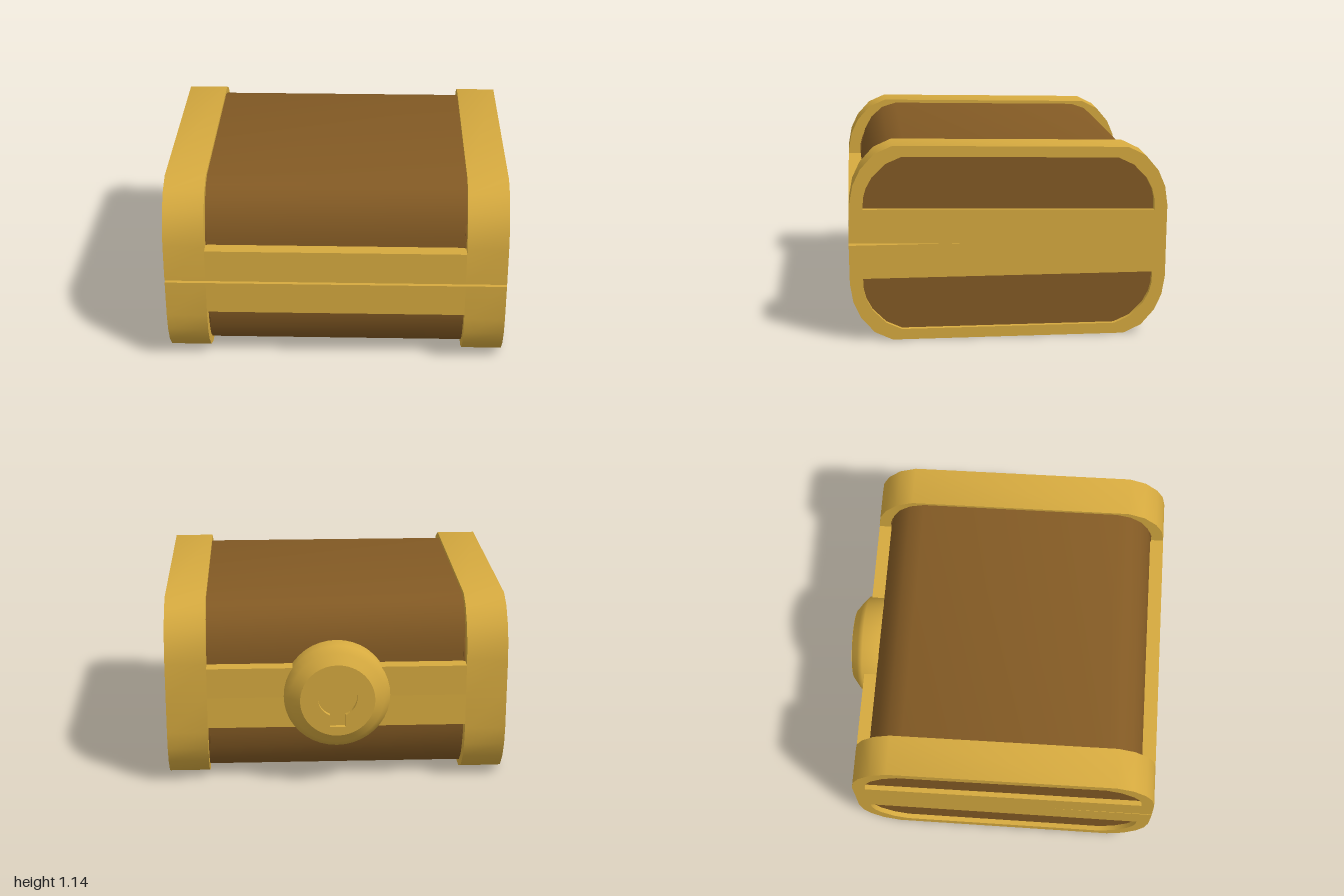
import * as THREE from 'three';
import { toCreasedNormals } from 'three/addons/utils/BufferGeometryUtils.js';

const gold = new THREE.MeshStandardMaterial({ color: 0xd6aa3f });
gold.name = 'gold';
const brown = new THREE.MeshStandardMaterial({ color: 0x835a24 });
brown.name = 'brown wood';

const MID_Z = 0.047; // middle of the chest, front to back
const SEAM = 0.565; // height of the opening
const LEDGE = 0.368; // lower edge of the middle band

// Front half of each cross-section as [z, y], from the seam down to the base
const STRAP = [[0.965, SEAM], [0.963, 0.34], [0.945, 0.23], [0.903, 0.137], [0.825, 0.048], [0.722, 0]];
const BODY = [[0.882, LEDGE + 0.01], [0.878, 0.3], [0.855, 0.2], [0.81, 0.115], [0.74, 0.05], [0.65, 0.02]];
const PANEL = [[0.887, LEDGE], [0.884, 0.3], [0.87, 0.245], [0.835, 0.18], [0.758, 0.103], [0.667, 0.062]];

// Mirrors a half section front to back; shape x is -z
function section(half) {
  const front = half.map(([z, y]) => new THREE.Vector2(-z, y));
  const back = half.map(([z, y]) => new THREE.Vector2(z - 2 * MID_Z, y)).reverse();
  return [...front, ...back];
}

function part(name, geometry, material) {
  const mesh = new THREE.Mesh(geometry, material);
  mesh.name = name;
  return mesh;
}

// Extrudes a section along x between x0 and x1, with rounded corners smooth
function extrudeX(half, x0, x1, holeHalf) {
  const shape = new THREE.Shape(section(half));
  if (holeHalf) shape.holes.push(new THREE.Path(section(holeHalf)));
  const geometry = new THREE.ExtrudeGeometry(shape, { depth: x1 - x0, bevelEnabled: false });
  geometry.rotateY(Math.PI / 2).translate(x0, 0, 0);
  return toCreasedNormals(geometry, 0.7);
}

// One half of the chest, shaped as the base
function makeHalf(name) {
  const half = new THREE.Group();
  half.name = name;
  half.add(part('woodBody', extrudeX(BODY, -0.77, 0.77), brown));
  for (const [side, x0, x1, p0, p1] of [['left', 0.76, 1, 0.75, 0.97], ['right', -1, -0.76, -0.97, -0.75]]) {
    half.add(part(side + 'Strap', extrudeX(STRAP, x0, x1, PANEL), gold));
    half.add(part(side + 'EndPanel', extrudeX(PANEL, p0, p1), brown));
  }
  const band = new THREE.BoxGeometry(1.52, SEAM - LEDGE, 1.836);
  band.translate(0, (SEAM + LEDGE) / 2, MID_Z);
  half.add(part('middleBand', band, gold));
  return half;
}

// Round lock plate with a sunken keyhole, facing the back
function makeLock() {
  const lock = new THREE.Group();
  lock.name = 'lock';
  const profile = [[0.31, 0.78], [0.312, 0.885], [0.275, 0.92], [0.218, 0.963]];
  const dome = new THREE.LatheGeometry(profile.map(([r, y]) => new THREE.Vector2(r, y)), 40);
  dome.rotateX(-Math.PI / 2);
  lock.add(part('lockRim', dome, gold));

  const face = new THREE.Shape().absarc(0, 0, 0.219, 0, Math.PI * 2);
  const keyhole = new THREE.Path();
  const a = 0.4; // half angle of the slot opening
  keyhole.absarc(0, 0.015, 0.115, -Math.PI / 2 + a, Math.PI * 1.5 - a);
  keyhole.lineTo(-0.045, -0.165);
  keyhole.lineTo(0.045, -0.165);
  keyhole.closePath();
  face.holes.push(keyhole);
  const plate = new THREE.ExtrudeGeometry(face, { depth: 0.03, bevelEnabled: false, curveSegments: 20 });
  plate.rotateY(Math.PI).translate(0, 0, -0.933);
  lock.add(part('lockFace', plate, gold));

  const floor = new THREE.CircleGeometry(0.21, 32);
  floor.rotateY(Math.PI).translate(0, 0, -0.935);
  lock.add(part('keyholeFloor', floor, gold));
  return lock;
}

export function createModel() {
  const chest = new THREE.Group();
  chest.name = 'chest';
  chest.add(makeHalf('base'));

  // The lid is the base turned over, tipped slightly open at the front
  const pivotZ = 0.1;
  const hinge = new THREE.Group();
  hinge.name = 'tiltedLid';
  hinge.position.set(0, SEAM, pivotZ);
  hinge.rotation.x = -0.022;

  const lid = makeHalf('lid');
  lid.rotation.z = Math.PI;
  lid.position.set(0, SEAM - 0.005, -pivotZ);
  const lock = makeLock();
  lock.position.set(0, 0.02, -pivotZ);
  hinge.add(lid, lock);
  chest.add(hinge);
  return chest;
}
